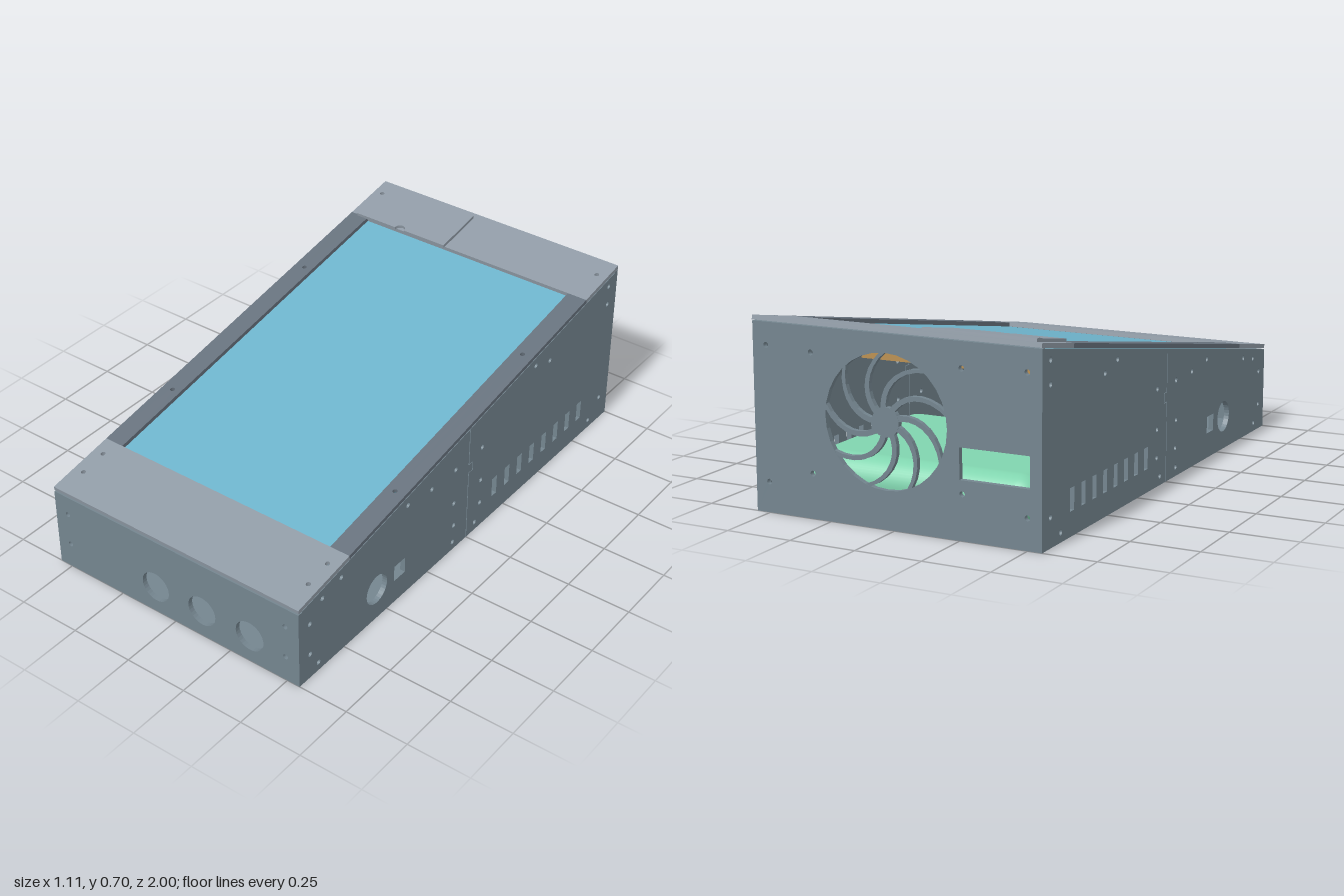
import * as THREE from 'three';
import { RoundedBoxGeometry } from 'three/addons/geometries/RoundedBoxGeometry.js';

const HALF_W = 0.553, WALL = 0.02, SLOPE = 0.175;
const ANGLE = Math.atan(SLOPE);
const wallTop = z => 0.32 + SLOPE * (1 - z);      // top edge of the walls
const along = z => (1 - z) / Math.cos(ANGLE);     // distance up the sloped lid

const paint = (name, color) => {
  const m = new THREE.MeshStandardMaterial({ color });
  m.name = name;
  return m;
};

// Shape and hole helpers
const poly = pts => new THREE.Shape(pts.map(p => new THREE.Vector2(...p)));
const rect = (x0, y0, x1, y1) => poly([[x0, y0], [x1, y0], [x1, y1], [x0, y1]]);
const circle = (x, y, r) => new THREE.Path().absarc(x, y, r, 0, Math.PI * 2, true);
const drill = (shape, list, r = 0.01) => {
  list.forEach(([x, y]) => shape.holes.push(circle(x, y, r)));
  return shape;
};
const extrude = (shape, depth) =>
  new THREE.ExtrudeGeometry(shape, { depth, bevelEnabled: false, curveSegments: 16 });

export function createModel() {
  const body = paint('slate body', 0x74858f);
  const lidPaint = paint('light grey lid', 0x909ba6);
  const strip = paint('dark grey strips', 0x67727d);
  const glass = paint('blue screen', 0x6db3cb);
  const green = paint('mint green pack', 0x80d4ae);
  const brown = paint('brown board', 0xae8444);

  const model = new THREE.Group();
  const add = (name, geo, mat, parent = model) => {
    const m = new THREE.Mesh(geo, mat);
    m.name = name;
    parent.add(m);
    return m;
  };

  // Side walls: two interlocking halves, drawn in (z, y)
  const g = 0.002, jog = -0.025;
  const frontHalf = poly([[g, 0], [0.98, 0], [0.98, wallTop(0.98)], [g, wallTop(g)],
    [g, 0.335], [jog + g, 0.335], [jog + g, 0.3], [g, 0.3]]);
  drill(frontHalf, [[0.94, 0.24], [0.94, 0.105], [0.895, 0.035], [0.87, 0.305], [0.765, 0.325],
    [0.38, 0.39], [0.235, 0.37], [0.085, 0.365], [0.09, 0.215], [0.085, 0.11], [0.09, 0.035]]);
  drill(frontHalf, [[0.56, 0.13]], 0.06);
  frontHalf.holes.push(rect(0.392, 0.097, 0.457, 0.162));

  const backHalf = poly([[-0.98, 0], [-g, 0], [-g, 0.298], [jog - g, 0.298], [jog - g, 0.337],
    [-g, 0.337], [-g, wallTop(-g)], [-0.98, wallTop(-0.98)]]);
  drill(backHalf, [[-0.085, 0.365], [-0.085, 0.215], [-0.085, 0.11], [-0.055, 0.035],
    [-0.43, 0.535], [-0.53, 0.505], [-0.94, 0.625], [-0.94, 0.545], [-0.94, 0.105], [-0.865, 0.035]]);
  for (let i = 0; i < 8; i++) {
    const z = -0.181 - i * 0.0857;
    backHalf.holes.push(rect(z - 0.016, 0.087, z + 0.016, 0.168));
  }
  for (const [side, x] of [['left', HALF_W], ['right', -HALF_W + WALL]]) {
    for (const [part, shape] of [['FrontWall', frontHalf], ['BackWall', backHalf]]) {
      const wall = add(side + part, extrude(shape, WALL), body);
      wall.rotation.y = -Math.PI / 2;
      wall.position.x = x;
    }
  }

  // Front panel with three round ports
  const front = rect(-HALF_W, 0, HALF_W, wallTop(1));
  drill(front, [[-0.495, 0.24], [-0.495, 0.105], [0.495, 0.24], [0.495, 0.105]]);
  drill(front, [[-0.087, 0.112], [0.125, 0.112], [0.338, 0.112]], 0.061);
  add('frontPanel', extrude(front, WALL), body).position.z = 0.98;

  // Back panel with fan opening and connector slot
  const FX = 0.03, FY = 0.37, FR = 0.235;
  const back = rect(-HALF_W, 0, HALF_W, wallTop(-1));
  drill(back, [[FX, FY]], FR);
  for (const s of [-1, 1]) {
    drill(back, [[0.5 * s, 0.59], [0.5 * s, 0.11], [FX + 0.29 * s, FY + 0.21], [FX + 0.29 * s, FY - 0.21]]);
  }
  back.holes.push(rect(-0.51, 0.207, -0.25, 0.317));
  add('backPanel', extrude(back, WALL), body).position.z = -1;

  // Fan guard: hub and swept ribs
  const guard = new THREE.Group();
  guard.name = 'fanGuard';
  guard.position.set(FX, FY, -1);
  model.add(guard);
  const hub = add('fanHub', new THREE.CylinderGeometry(0.052, 0.052, WALL, 24), body, guard);
  hub.rotation.x = Math.PI / 2;
  hub.position.z = WALL / 2;
  const edge = [[], []];
  for (let i = 0; i <= 8; i++) {
    const r = 0.04 + (FR + 0.004 - 0.04) * i / 8;
    const a = 0.85 * Math.pow(i / 8, 1.3);
    [-1, 1].forEach((s, k) => {
      const b = a + s * 0.01 / r;
      edge[k].push([r * Math.cos(b), r * Math.sin(b)]);
    });
  }
  const ribGeo = extrude(poly([...edge[0], ...edge[1].reverse()]), WALL - 0.002);
  for (let i = 0; i < 9; i++) {
    const rib = add('fanRib', ribGeo, body, guard);
    rib.rotation.z = i * Math.PI * 2 / 9;
    rib.position.z = 0.001;
  }

  // Floor: two plates with slotted feet holes, drawn in (x, -z)
  const floorBack = rect(-0.533, g, 0.533, 0.98);
  for (const x of [-0.437, 0.437]) for (const z of [0.108, 0.745]) {
    floorBack.holes.push(rect(x - 0.016, z - 0.052, x + 0.016, z + 0.052));
  }
  const floorFront = rect(-0.533, -0.98, 0.533, -g);
  for (const [name, shape] of [['floorBack', floorBack], ['floorFront', floorFront]]) {
    const plate = add(name, extrude(shape, 0.014), body);
    plate.rotation.x = -Math.PI / 2;
    plate.position.y = 0.002;
  }

  // Sloped lid: local x across, local y up the slope, local z outward
  const lid = new THREE.Group();
  lid.name = 'lid';
  lid.position.set(0, 0.34, 1);
  lid.rotation.x = ANGLE - Math.PI / 2;
  model.add(lid);
  const T = 0.016, Z0 = 0.72, Z1 = -0.77;
  const lidPlate = (name, x0, x1, zFront, zBack, mat, screws) => {
    const shape = rect(x0, along(zFront), x1, along(zBack));
    drill(shape, screws.map(([x, z]) => [x, along(z)]), 0.009);
    add(name, extrude(shape, T), mat, lid).position.z = -T;
  };
  lidPlate('lidFrontBand', -HALF_W, HALF_W, 1, Z0, lidPaint,
    [[-0.51, 0.785], [0.51, 0.785], [-0.51, 0.89], [0.51, 0.89]]);
  lidPlate('lidBackBand', -HALF_W, HALF_W, Z1, -1, lidPaint, [[-0.51, -0.915], [0.51, -0.915]]);
  lidPlate('leftLidStrip', 0.472, HALF_W, Z0, Z1, strip, [[0.51, 0.4], [0.51, -0.4]]);
  lidPlate('rightLidStrip', -HALF_W, -0.475, Z0, Z1, strip, [[-0.51, 0.4], [-0.51, -0.4]]);

  // Raised cover with thumb notch
  const c0 = along(-0.763), c1 = along(-0.972);
  const cover = poly([[-0.52, c0]]);
  cover.lineTo(-0.332, c0);
  cover.absarc(-0.31, c0, 0.022, Math.PI, 0, true);
  cover.lineTo(-0.097, c0);
  cover.lineTo(-0.097, c1);
  cover.lineTo(-0.52, c1);
  drill(cover, [[-0.51 + 0.004, along(-0.915)]], 0.009);
  add('hatchCover', extrude(cover, 0.012), lidPaint, lid);

  // Screen and the board behind it
  const slab = (name, w, zFront, zBack, top, bottom, mat) => {
    const h = along(zBack) - along(zFront);
    const m = add(name, new THREE.BoxGeometry(w, h, top - bottom), mat, lid);
    m.position.set(0, along(zFront) + h / 2, (top + bottom) / 2);
  };
  slab('screen', 0.98, 0.74, -0.79, -T - 0.001, -0.075, glass);
  slab('circuitBoard', 0.9, 0.68, -0.45, -0.075, -0.14, brown);

  // Rounded pack lying inside on the floor
  const pack = add('innerPack', new RoundedBoxGeometry(0.92, 0.18, 0.76, 6, 0.088), green);
  pack.position.set(0, 0.108, -0.5);

  return model;
}
